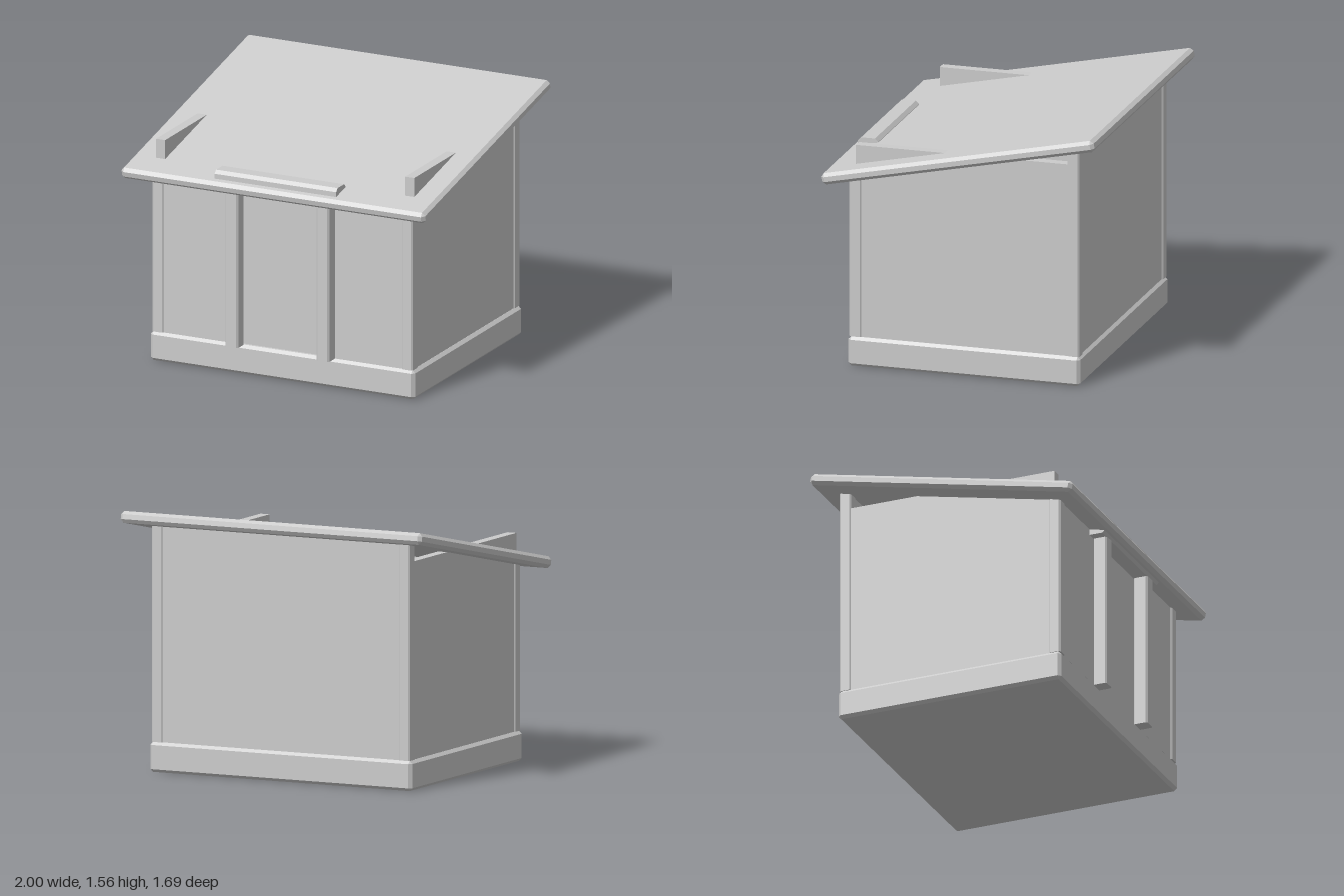
import * as THREE from 'three';
import { ConvexGeometry } from 'three/addons/geometries/ConvexGeometry.js';

const material = new THREE.MeshStandardMaterial({ color: 0xcccccc, flatShading: true });

// Box with chamfered edges; if axis (0, 1, 2) is given, only the edges along it are cut.
function chamferBox(w, h, d, c, axis = -1) {
  const half = [w / 2, h / 2, d / 2];
  const points = [];
  for (const sx of [-1, 1]) for (const sy of [-1, 1]) for (const sz of [-1, 1]) {
    for (let a = 0; a < 3; a++) {
      if (a === axis) continue;
      const p = half.map((v, i) => (i === a || i === axis ? v : v - c));
      points.push(new THREE.Vector3(p[0] * sx, p[1] * sy, p[2] * sz));
    }
  }
  return new ConvexGeometry(points);
}

export function createModel() {
  const group = new THREE.Group();
  const floor = 0.18;

  function add(name, geometry, x, y, z) {
    const mesh = new THREE.Mesh(geometry, material);
    mesh.name = name;
    mesh.position.set(x, y, z);
    group.add(mesh);
    return mesh;
  }

  // Upright parts stand on the base and end at the given height.
  function wall(name, w, top, d, x, z) {
    add(name, new THREE.BoxGeometry(w, top - floor, d), x, (top + floor) / 2, z);
  }
  function post(name, w, top, d, x, z) {
    add(name, chamferBox(w, top - floor, d, 0.01, 1), x, (top + floor) / 2, z);
  }

  // Base slab
  add('base', chamferBox(1.74, floor, 1.43, 0.018), 0, floor / 2, 0);

  // Sloping roof
  const roof = add('roof', chamferBox(2, 0.07, 1.72, 0.02), 0, 1.35, 0);
  roof.rotation.x = 0.21;

  // Back wall and recessed door
  wall('backWall', 1.64, 1.47, 0.06, 0, -0.67);
  wall('door', 0.6, 1.19, 0.04, 0, 0.66);

  for (const s of [-1, 1]) {
    const side = s > 0 ? 'left' : 'right';
    // Side walls: level tops that break through the low end of the roof
    wall(side + 'SideWall', 0.06, 1.36, 1.34, s * 0.82, 0);
    wall(side + 'FrontWall', 0.52, 1.19, 0.06, s * 0.56, 0.67);
    // Corner posts and door posts
    post(side + 'FrontPost', 0.075, 1.2, 0.075, s * 0.82, 0.6725);
    post(side + 'BackPost', 0.075, 1.48, 0.075, s * 0.82, -0.6725);
    post(side + 'DoorPost', 0.085, 1.15, 0.09, s * 0.3, 0.737);
  }

  // Beam across the door posts
  add('lintel', chamferBox(0.8, 0.135, 0.125, 0.02, 0), 0, 1.1975, 0.7375);

  return group;
}
